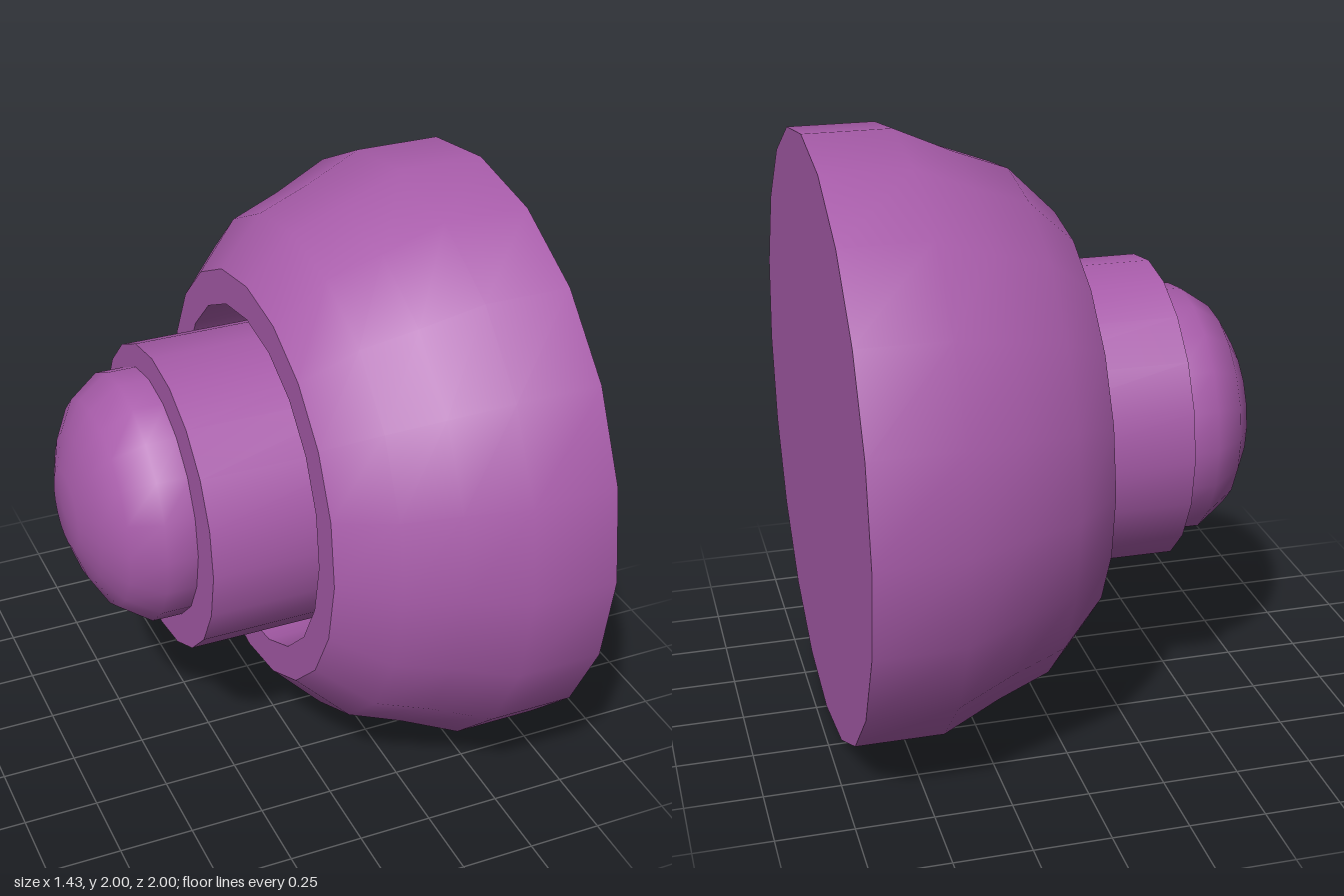
import * as THREE from 'three';
import { toCreasedNormals } from 'three/addons/utils/BufferGeometryUtils.js';

const SIDES = 20;
const material = new THREE.MeshStandardMaterial({ color: 0xa85caa });

// Turned part around the x axis; profile is [x, radius] pairs
function turned(name, profile, z = 0) {
  const points = profile.map(([x, r]) => new THREE.Vector2(r, x));
  const lathe = new THREE.LatheGeometry(points, SIDES);
  lathe.rotateZ(-Math.PI / 2);
  const mesh = new THREE.Mesh(toCreasedNormals(lathe, THREE.MathUtils.degToRad(40)), material);
  mesh.name = name;
  mesh.position.set(0, 1, z);
  return mesh;
}

export function createModel() {
  const group = new THREE.Group();
  group.name = 'flaredKnob';

  // Flared body with a flat end and a socket around the collar
  group.add(turned('flaredBody', [
    [0.3, 0], [0.3, 0.58], [-0.09, 0.58], [-0.09, 0.695], [0.065, 0.85],
    [0.24, 0.915], [0.43, 1], [0.715, 1], [0.715, 0],
  ]));

  // Collar standing in the socket
  group.add(turned('collar', [[-0.41, 0], [-0.41, 0.508], [0.3, 0.508]]));

  // Rounded cap, set slightly off the collar's axis
  group.add(turned('domeCap', [
    [-0.717, 0], [-0.708, 0.13], [-0.668, 0.245], [-0.61, 0.345], [-0.51, 0.415], [-0.4, 0.415],
  ], -0.037));

  return group;
}
